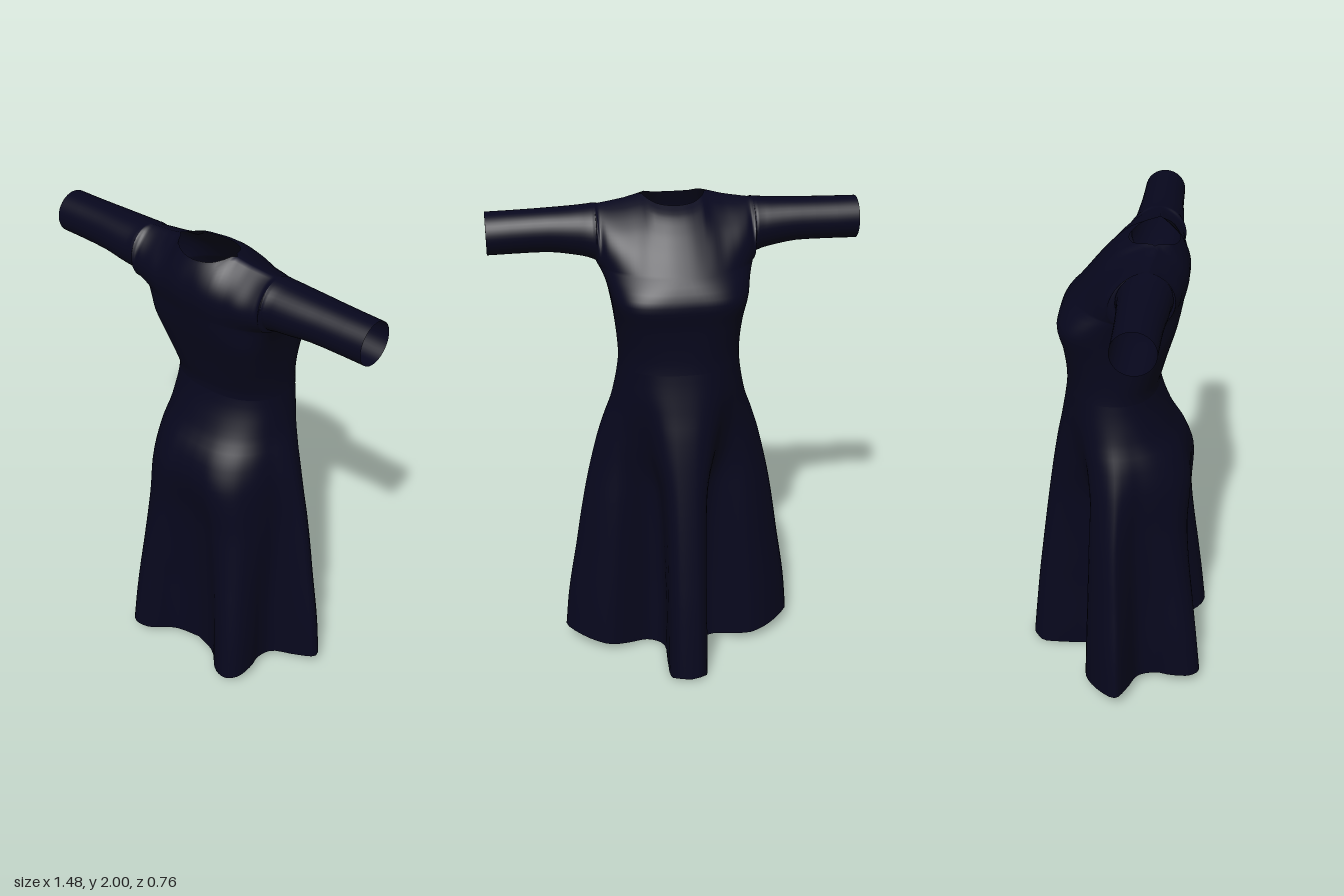
import * as THREE from 'three';
import { mergeVertices, mergeGeometries } from 'three/addons/utils/BufferGeometryUtils.js';

const { lerp, smoothstep } = THREE.MathUtils;

// Smooth lookup in a table of [key, value, value...] rows; col picks the value
function look(table, k, col = 1) {
  const n = table.length - 1;
  if (k <= table[0][0]) return table[0][col];
  if (k >= table[n][0]) return table[n][col];
  let i = 0;
  while (k > table[i + 1][0]) i++;
  const slope = (j) => {
    const a = table[Math.max(j - 1, 0)], b = table[Math.min(j + 1, n)];
    return (b[col] - a[col]) / (b[0] - a[0]);
  };
  const [p, q] = [table[i], table[i + 1]];
  const h = q[0] - p[0], t = (k - p[0]) / h, t2 = t * t, t3 = t2 * t;
  return (2 * t3 - 3 * t2 + 1) * p[col] + (t3 - 2 * t2 + t) * h * slope(i)
    + (3 * t2 - 2 * t3) * q[col] + (t3 - t2) * h * slope(i + 1);
}

// Grid surface from a point function of (column, row)
function grid(cols, rows, point) {
  const pos = [], idx = [];
  for (let j = 0; j <= rows; j++) for (let i = 0; i <= cols; i++) pos.push(...point(i, j));
  for (let j = 0; j < rows; j++) for (let i = 0; i < cols; i++) {
    const a = j * (cols + 1) + i, b = a + 1, c = a + cols + 1, d = c + 1;
    idx.push(a, c, b, b, c, d);
  }
  const g = new THREE.BufferGeometry();
  g.setAttribute('position', new THREE.Float32BufferAttribute(pos, 3));
  g.setIndex(idx);
  return g;
}

function weld(parts) {
  const g = mergeVertices(mergeGeometries(parts), 1e-4);
  g.computeVertexNormals();
  return g;
}

// Body outline: y, half width, +z reach, -z reach, centre z, squareness
const BODY = [
  [0, 0.5, 0.383, -0.383, 0, 2], [0.2, 0.483, 0.367, -0.365, 0, 2],
  [0.4, 0.456, 0.349, -0.345, 0, 2], [0.75, 0.4, 0.32, -0.302, 0, 2],
  [0.98, 0.348, 0.326, -0.27, 0.01, 2], [1.1, 0.311, 0.288, -0.25, 0.01, 2.05],
  [1.2, 0.275, 0.226, -0.23, 0, 2.15], [1.36, 0.245, 0.17, -0.205, -0.01, 2.3],
  [1.45, 0.246, 0.186, -0.204, 0.01, 2.6], [1.55, 0.256, 0.211, -0.213, 0.04, 3.2],
  [1.65, 0.274, 0.238, -0.232, 0.06, 3.6], [1.71, 0.292, 0.252, -0.21, 0.09, 2.8],
  [1.75, 0.315, 0.26, -0.18, 0.11, 2.2],
];
// How strongly the folds show at each height, on the +z side and on the -z side
const FOLDS = [[0, 1, 1], [0.4, 0.8, 0.95], [0.8, 0.42, 0.78], [1.02, 0.17, 0.42],
  [1.22, 0.02, 0.1], [1.36, 0, 0]];

// Half of the pleated hem, from the centre of -z round to the centre of +z
const HEM = new THREE.CatmullRomCurve3([
  [0, -0.382], [0.045, -0.375], [0.078, -0.33], [0.079, -0.22], [0.08, -0.09],
  [0.14, -0.06], [0.24, -0.095], [0.32, -0.112], [0.425, -0.06], [0.498, 0.035],
  [0.42, 0.078], [0.31, 0.12], [0.295, 0.19], [0.31, 0.25], [0.305, 0.34],
  [0.265, 0.378], [0.2, 0.365], [0.11, 0.285], [0, 0.25],
].map(([x, z]) => new THREE.Vector3(x, 0, z)));

const pow = (v, e) => Math.sign(v) * Math.pow(Math.abs(v), e);

// Point on the body; angle 0 is -z, a quarter turn is +x
function section(angle, y) {
  const [w, zp, zn, cz, n] = [1, 2, 3, 4, 5].map((c) => look(BODY, y, c));
  const a = angle > Math.PI ? angle - 2 * Math.PI : angle;
  const f = lerp(look(FOLDS, y, 1), look(FOLDS, y, 2), smoothstep(Math.cos(a), -0.7, 0.7));
  const hem = HEM.getPoint(Math.min(Math.abs(a) / Math.PI, 1));
  const nx = lerp(pow(Math.sin(a), 2 / n), Math.sign(a) * hem.x / 0.5, f);
  const nz = lerp(-pow(Math.cos(a), 2 / n), hem.z / 0.382, f);
  const x = nx * w, z = cz + nz * (nz > 0 ? zp - cz : cz - zn), d = Math.abs(x);
  // The hem rises towards the sides and in the middle of both faces
  const lift = 0.17 * d - 0.009 + 0.028 * Math.max(0, 1 - (d / 0.075) ** 4) * (z < 0 ? 1 : 0)
    + 0.04 * smoothstep(z, 0.1, 0.24) * Math.max(0, 1 - d / 0.5);
  return [x, y + lift * Math.max(0, 1 - y / 0.5), z];
}

const STEP = Math.PI / 60, CHEST = 1.75, WAIST = 1.36;
const bodyTube = (y0, y1, rows) =>
  grid(120, rows, (i, j) => section((i % 120) * STEP, y0 + (y1 - y0) * j / rows));

// Yoke and sleeves, all keyed by distance from the middle
const NECK = 0.125;
const TOP = [[0, 1.974], [0.07, 1.98], [0.11, 1.994], [0.128, 2], [0.16, 1.994], [0.2, 1.985],
  [0.35, 1.966], [0.55, 1.958], [0.74, 1.955]];
const UNDER = [[0.315, 1.75], [0.33, 1.757], [0.36, 1.766], [0.42, 1.777], [0.5, 1.788],
  [0.74, 1.786]];
// Shoulder seam, and the softer lines the cloth follows below it on -z and +z
const SEAM = [[0, 0.15, 0.04, 0.235], [0.06, 0.15, 0.055, 0.224], [0.128, 0.15, 0.1, 0.188],
  [0.2, 0.142, 0.132, 0.152], [0.28, 0.135, 0.135, 0.135], [0.4, 0.127, 0.127, 0.127],
  [0.74, 0.125, 0.125, 0.125]];
const AXIS = [[0.315, 0.11], [0.34, 0.118], [0.42, 0.127], [0.74, 0.125]];
// Bulge towards -z and towards +z
const BULGE = [[0, 0, 0.026], [0.15, 0.006, 0.042], [0.2, 0.02, 0.056], [0.25, 0.04, 0.065],
  [0.28, 0.055, 0.075], [0.3, 0.067, 0.086], [0.315, 0.1, 0.11], [0.34, 0.1, 0.105],
  [0.42, 0.094, 0.098], [0.55, 0.087, 0.088], [0.74, 0.084, 0.084]];
const ROUND = [[0.2, 0], [0.25, 0.15], [0.29, 0.5], [0.315, 1], [0.74, 1]];
// Slope of the chest from bust to neckline
const CHESTLINE = [[0, 0], [0.22, 0.18], [0.45, 0.36], [0.67, 0.545], [0.89, 0.78], [1, 1]];

const columns = [];
for (let i = -30; i <= 30; i++) columns.push({ angle: i * STEP, x: section(i * STEP, CHEST)[0] });
for (const x of [0.322, 0.33, 0.345, 0.36, 0.38, 0.42, 0.46, 0.5, 0.56, 0.65, 0.74]) {
  columns.push({ x });
  columns.unshift({ x: -x });
}

function panel(side) {
  const rows = 20, last = columns.length - 1;
  return grid(last, rows, (i, j) => {
    const { x, angle } = columns[side < 0 ? i : last - i];
    const d = Math.abs(x), t = j / rows;
    const foot = angle === undefined ? [x, look(UNDER, d), look(AXIS, d)]
      : section(side < 0 ? angle : Math.PI - angle, CHEST);
    const arc = Math.sqrt(Math.max(0, 1 - (d / NECK) ** 2));
    const zTop = d < NECK ? 0.15 + arc * (side < 0 ? -0.11 : 0.085) : look(SEAM, d);
    const soft = look(SEAM, d, side < 0 ? 2 : 3);
    const r = look(ROUND, d);
    const k = lerp(t, (1 - Math.cos(Math.PI * t)) / 2, r);
    const g = side < 0 ? lerp(look(CHESTLINE, t), k, r) : k;
    const bow = Math.sin(Math.PI * t) * look(BULGE, d, side < 0 ? 1 : 2);
    return [x, lerp(foot[1], look(TOP, d), k),
      lerp(foot[2], soft, g) + (zTop - soft) * t ** 4 + side * bow];
  });
}

export function createModel() {
  const navy = new THREE.MeshStandardMaterial({ color: 0x07071d, side: THREE.DoubleSide });
  navy.name = 'dark navy cloth';

  const dress = new THREE.Group();
  dress.name = 'dress';
  const add = (name, geometry) => {
    const mesh = new THREE.Mesh(geometry, navy);
    mesh.name = name;
    dress.add(mesh);
  };

  // Flared skirt with five deep folds
  add('skirt', weld([bodyTube(0, WAIST, 44)]));
  // Fitted bodice, running into both open sleeves and the neckline
  add('bodiceAndSleeves', weld([bodyTube(WAIST, CHEST, 16), panel(-1), panel(1)]));
  return dress;
}
